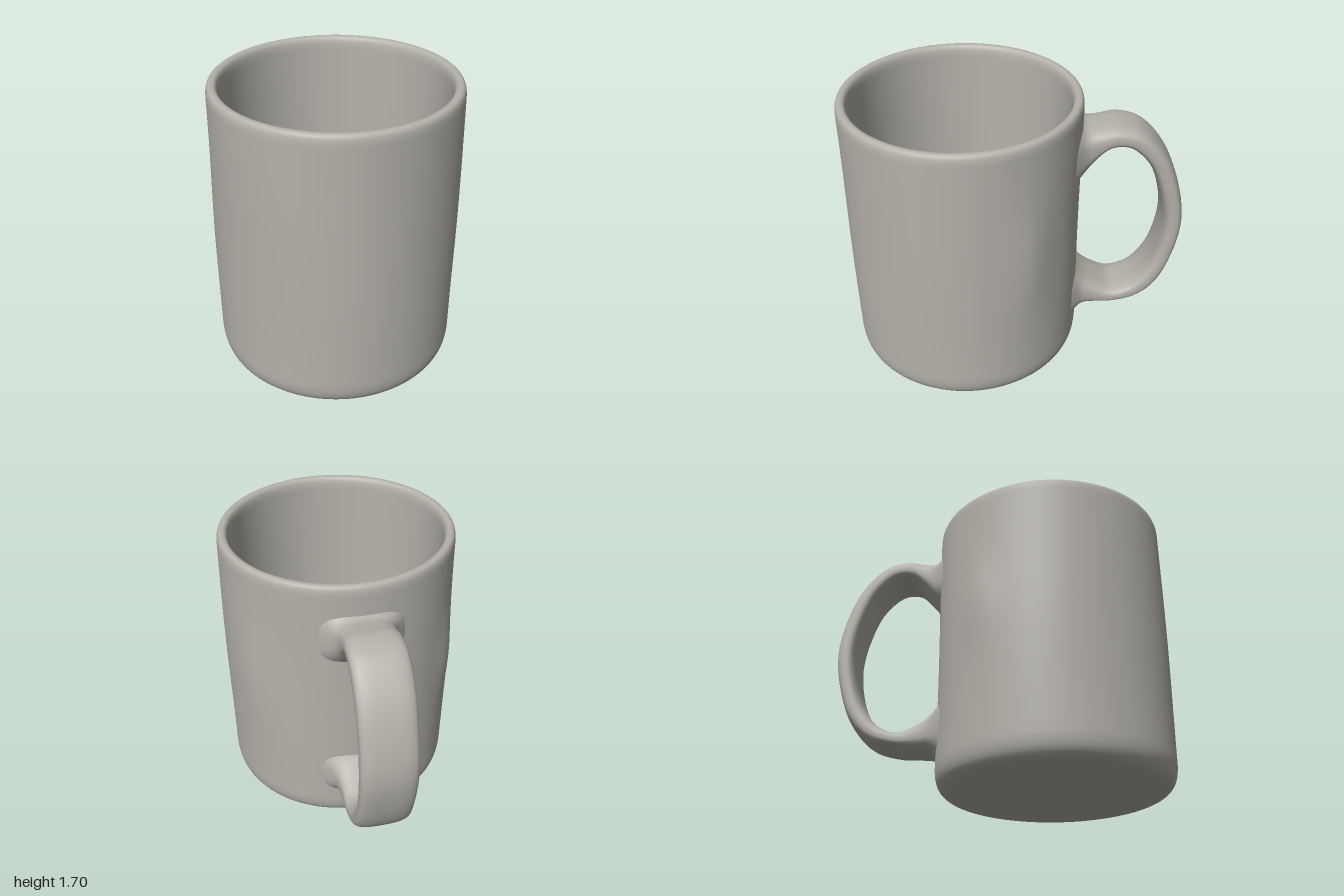
import * as THREE from 'three';
import { mergeVertices } from 'three/addons/utils/BufferGeometryUtils.js';

const HEIGHT = 1.7, CENTRE_Z = 0.31;

// Soft hump used for the hand-made unevenness of the wall
const hump = (angle, y, a0, y0, wa, wy) => {
  const da = Math.atan2(Math.sin(angle - a0), Math.cos(angle - a0)) / wa;
  return Math.exp(-da * da - ((y - y0) / wy) ** 2);
};

// Vessel: one closed profile, from the base up the outside and down the inside
function makeBody() {
  const p = new THREE.Path();
  p.moveTo(0, 0.005);
  p.lineTo(0.3, 0.005);
  p.lineTo(0.59, 0.005);
  p.bezierCurveTo(0.66, 0.01, 0.69, 0.05, 0.692, 0.15);
  for (let i = 1; i <= 30; i++) p.lineTo(0.692, 0.15 + i * 0.0493);
  p.bezierCurveTo(0.692, 1.68, 0.685, HEIGHT, 0.66, HEIGHT);
  p.bezierCurveTo(0.635, HEIGHT, 0.627, 1.68, 0.625, 1.63);
  p.lineTo(0.605, 0.9);
  p.lineTo(0.585, 0.15);
  p.lineTo(0.583, 0.125);
  p.lineTo(0.575, 0.12);
  p.lineTo(0.55, 0.12);
  p.lineTo(0, 0.12);
  let geo = new THREE.LatheGeometry(p.getPoints(10), 128, Math.PI);

  // Slight swelling and waviness on the outside wall only
  const pos = geo.attributes.position;
  for (let i = 0; i < pos.count; i++) {
    const x = pos.getX(i), y = pos.getY(i), z = pos.getZ(i);
    const r = Math.hypot(x, z), a = Math.atan2(x, z);
    if (r < 0.67) continue;
    const fade = Math.sin(Math.PI * Math.min(1, y / HEIGHT));
    const d = 0.006 * fade * Math.sin(3 * a + 2 * y)
      + 0.02 * hump(a, y, -2.15, 0.95, 0.16, 0.25)
      + 0.018 * hump(a, y, 2.15, 0.95, 0.18, 0.35)
      + 0.012 * hump(a, y, -1.6, 0.9, 0.35, 0.5)
      + 0.01 * hump(a, y, 1.3, 0.8, 0.4, 0.5);
    pos.setX(i, x * (1 + d / r));
    pos.setZ(i, z * (1 + d / r));
  }
  geo.deleteAttribute('uv');
  geo.deleteAttribute('normal');
  geo = mergeVertices(geo, 1e-4);
  geo.computeVertexNormals();
  return geo.translate(0, 0, CENTRE_Z);
}

// Handle: rounded sections lofted between an outer and an inner side curve
function makeHandle() {
  // each point is half width, y, z
  const curve = (pts) => new THREE.CatmullRomCurve3(pts.map((q) => new THREE.Vector3(...q)));
  const outer = curve([
    [0.25, 1.56, -0.33], [0.18, 1.51, -0.40], [0.16, 1.515, -0.47], [0.158, 1.53, -0.58],
    [0.16, 1.49, -0.72], [0.16, 1.36, -0.85], [0.16, 1.18, -0.94], [0.162, 0.89, -0.998],
    [0.16, 0.6, -0.95], [0.16, 0.42, -0.87], [0.16, 0.32, -0.76], [0.16, 0.275, -0.6],
    [0.162, 0.265, -0.48], [0.18, 0.255, -0.41], [0.25, 0.19, -0.33],
  ]);
  const inner = curve([
    [0, 1.17, -0.33], [0, 1.26, -0.41], [0, 1.32, -0.46], [0, 1.39, -0.53],
    [0, 1.4, -0.63], [0, 1.3, -0.75], [0, 1.13, -0.83], [0, 0.89, -0.88],
    [0, 0.65, -0.85], [0, 0.51, -0.79], [0, 0.42, -0.71], [0, 0.38, -0.6],
    [0, 0.42, -0.5], [0, 0.48, -0.41], [0, 0.57, -0.33],
  ]);
  const rings = 84, sides = 32, verts = [], index = [];
  const soft = (v) => Math.sign(v) * Math.abs(v) ** 0.65;
  for (let i = 0; i <= rings; i++) {
    const o = outer.getPoint(i / rings), n = inner.getPoint(i / rings);
    for (let j = 0; j < sides; j++) {
      const a = (j / sides) * Math.PI * 2;
      const k = 0.5 + 0.5 * soft(Math.cos(a));
      verts.push(o.x * soft(Math.sin(a)), n.y + (o.y - n.y) * k, n.z + (o.z - n.z) * k);
      if (i < rings) {
        const p = i * sides + j, q = i * sides + (j + 1) % sides;
        index.push(p, q, p + sides, p + sides, q, q + sides);
      }
    }
  }
  const geo = new THREE.BufferGeometry();
  geo.setAttribute('position', new THREE.Float32BufferAttribute(verts, 3));
  geo.setIndex(index);
  geo.computeVertexNormals();
  return geo;
}

export function createModel() {
  const clay = new THREE.MeshStandardMaterial({ color: 0xb4b1a9 });
  clay.name = 'warm grey ceramic';
  const group = new THREE.Group();
  group.name = 'mug';
  const add = (name, geo) => {
    const mesh = new THREE.Mesh(geo, clay);
    mesh.name = name;
    group.add(mesh);
  };
  add('body', makeBody());
  add('handle', makeHandle());
  return group;
}
